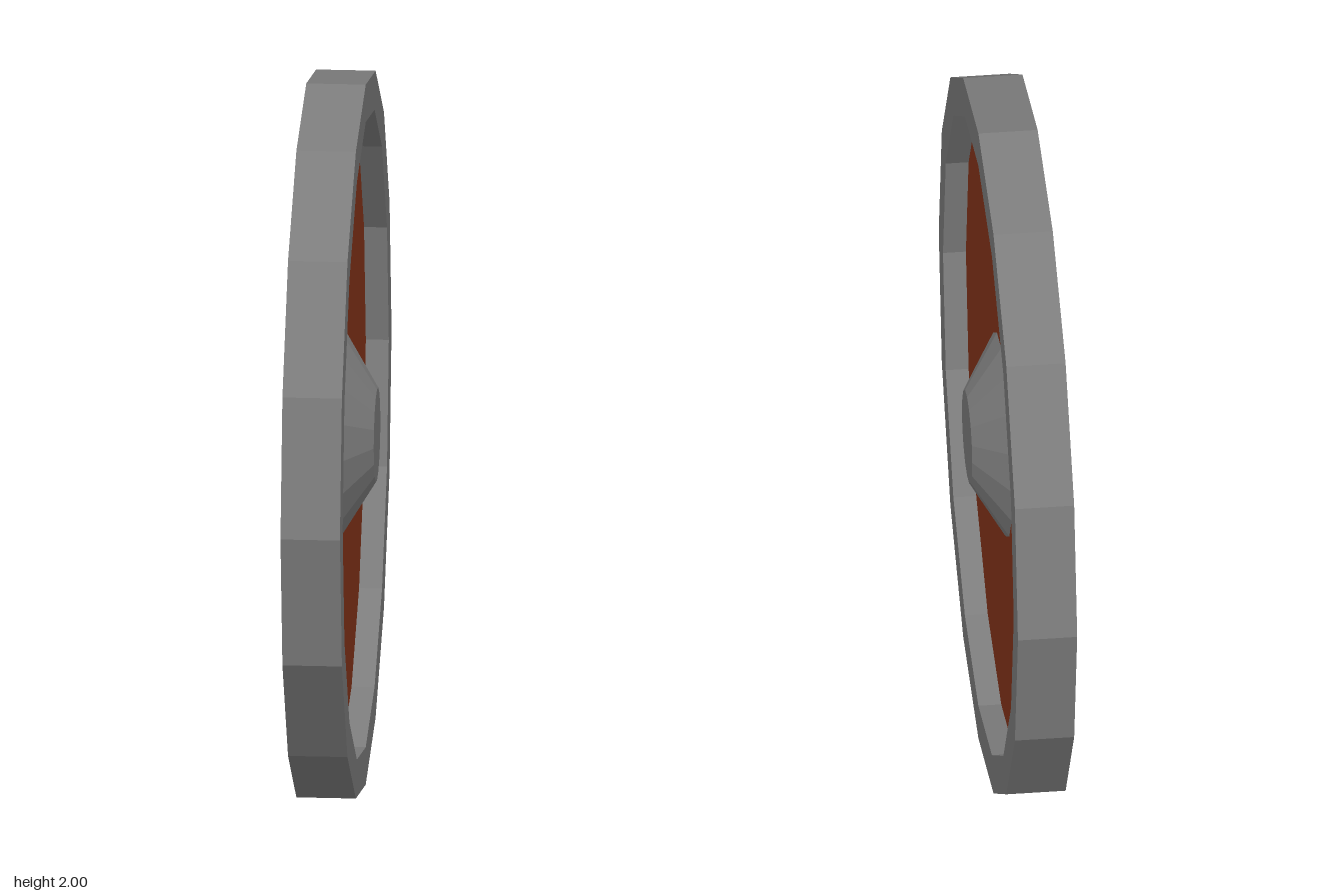
import * as THREE from 'three';

const SIDES = 16;
const METAL = 0x7c7c7c;
const PAINT = 0x863419;
const LEATHER = 0x3f2213;

function makeMesh(name, geometry, color) {
  const material = new THREE.MeshStandardMaterial({ color, flatShading: true });
  const mesh = new THREE.Mesh(geometry, material);
  mesh.name = name;
  return mesh;
}

// Turn a geometry built around y so that its axis points along +x
const alongX = (geometry) => geometry.rotateZ(-Math.PI / 2);

// Curved grip band: an arched side profile extruded across its width
function strapGeometry(width) {
  const thickness = 0.028;
  const outer = [[-0.025, -0.337], [-0.088, -0.17], [-0.11, 0], [-0.088, 0.17], [-0.025, 0.337]];
  const inner = outer.map(([x, y]) => [x + thickness, y * 0.98]).reverse();
  const shape = new THREE.Shape([...outer, ...inner].map(([x, y]) => new THREE.Vector2(x, y)));
  return new THREE.ExtrudeGeometry(shape, { depth: width, bevelEnabled: false })
    .translate(0, 0, -width / 2);
}

export function createModel() {
  const shield = new THREE.Group();
  shield.name = 'roundShield';

  // Heavy metal rim with a rectangular section
  const section = [[0.893, -0.085], [1, -0.085], [1, 0.078], [0.893, 0.078], [0.893, -0.085]]
    .map(([r, h]) => new THREE.Vector2(r, h));
  shield.add(makeMesh('rim', alongX(new THREE.LatheGeometry(section, SIDES)), METAL));

  // Recessed panel, set into the rim
  const panel = alongX(new THREE.CylinderGeometry(0.91, 0.91, 0.04, SIDES)).translate(-0.005, 0, 0);
  shield.add(makeMesh('panel', panel, PAINT));

  // Tapered boss with a flat cap
  const boss = alongX(new THREE.CylinderGeometry(0.13, 0.288, 0.096, SIDES)).translate(0.061, 0, 0);
  shield.add(makeMesh('boss', boss, METAL));

  // Two arm straps on the back
  for (const side of [1, -1]) {
    const strap = makeMesh(side > 0 ? 'frontStrap' : 'rearStrap', strapGeometry(0.15), LEATHER);
    strap.position.z = side * 0.3;
    shield.add(strap);
  }

  shield.children.forEach((part) => { part.position.y = 1; });
  return shield;
}
